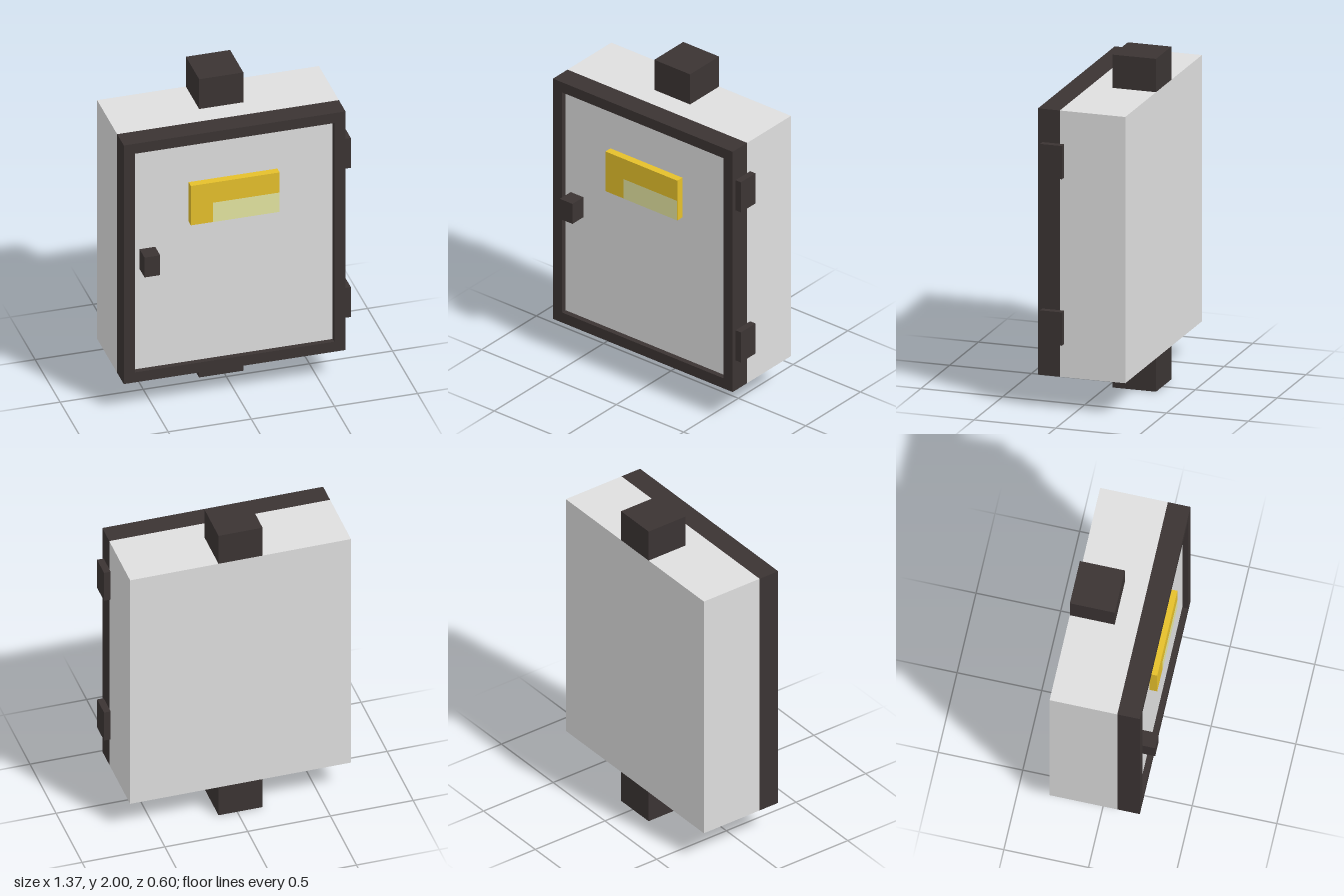
import * as THREE from 'three';

const material = (name, color) => {
  const m = new THREE.MeshStandardMaterial({ color });
  m.name = name;
  return m;
};

export function createModel() {
  const group = new THREE.Group();
  const grey = material('light grey', 0xdedede);
  const dark = material('dark brown grey', 0x3b3433);
  const yellow = material('yellow', 0xe5c02b);
  const cream = material('pale yellow', 0xe4e5a0);

  const add = (name, geometry, mat, x, y, z) => {
    const mesh = new THREE.Mesh(geometry, mat);
    mesh.position.set(x, y, z);
    mesh.name = name;
    group.add(mesh);
  };
  // Box given by its limits on each axis
  const block = (name, mat, [x0, x1], [y0, y1], [z0, z1]) =>
    add(name, new THREE.BoxGeometry(x1 - x0, y1 - y0, z1 - z0), mat,
      (x0 + x1) / 2, (y0 + y1) / 2, (z0 + z1) / 2);
  const trace = (path, x0, x1, y0, y1) =>
    path.moveTo(x0, y0).lineTo(x1, y0).lineTo(x1, y1).lineTo(x0, y1).closePath();

  // Cabinet housing
  block('cabinetBody', grey, [-0.687, 0.647], [0.2, 1.8], [-0.3, 0.1]);

  // Door: dark frame around a recessed panel
  const outline = new THREE.Shape();
  trace(outline, -0.687, 0.647, 0.2, 1.8);
  const opening = new THREE.Path();
  trace(opening, -0.62, 0.58, 0.267, 1.733);
  outline.holes.push(opening);
  add('doorFrame', new THREE.ExtrudeGeometry(outline, { depth: 0.133, bevelEnabled: false }),
    dark, 0, 0, 0.1);
  block('doorPanel', grey, [-0.62, 0.58], [0.267, 1.733], [0.1, 0.2]);

  // Sign plate with a pale field in its lower corner
  block('signPlate', yellow, [-0.287, 0.247], [1.203, 1.467], [0.2, 0.246]);
  add('signField', new THREE.PlaneGeometry(0.4, 0.13), cream, 0.047, 1.268, 0.247);

  // Latch and hinges
  block('latch', dark, [-0.582, -0.488], [0.935, 1.068], [0.2, 0.3]);
  for (const y of [0.4, 1.4]) block('hinge', dark, [0.647, 0.687], [y, y + 0.2], [0.073, 0.207]);

  // Conduits above and below
  for (const y of [0, 1.8]) block('conduit', dark, [-0.153, 0.113], [y, y + 0.2], [-0.3, -0.035]);

  return group;
}
